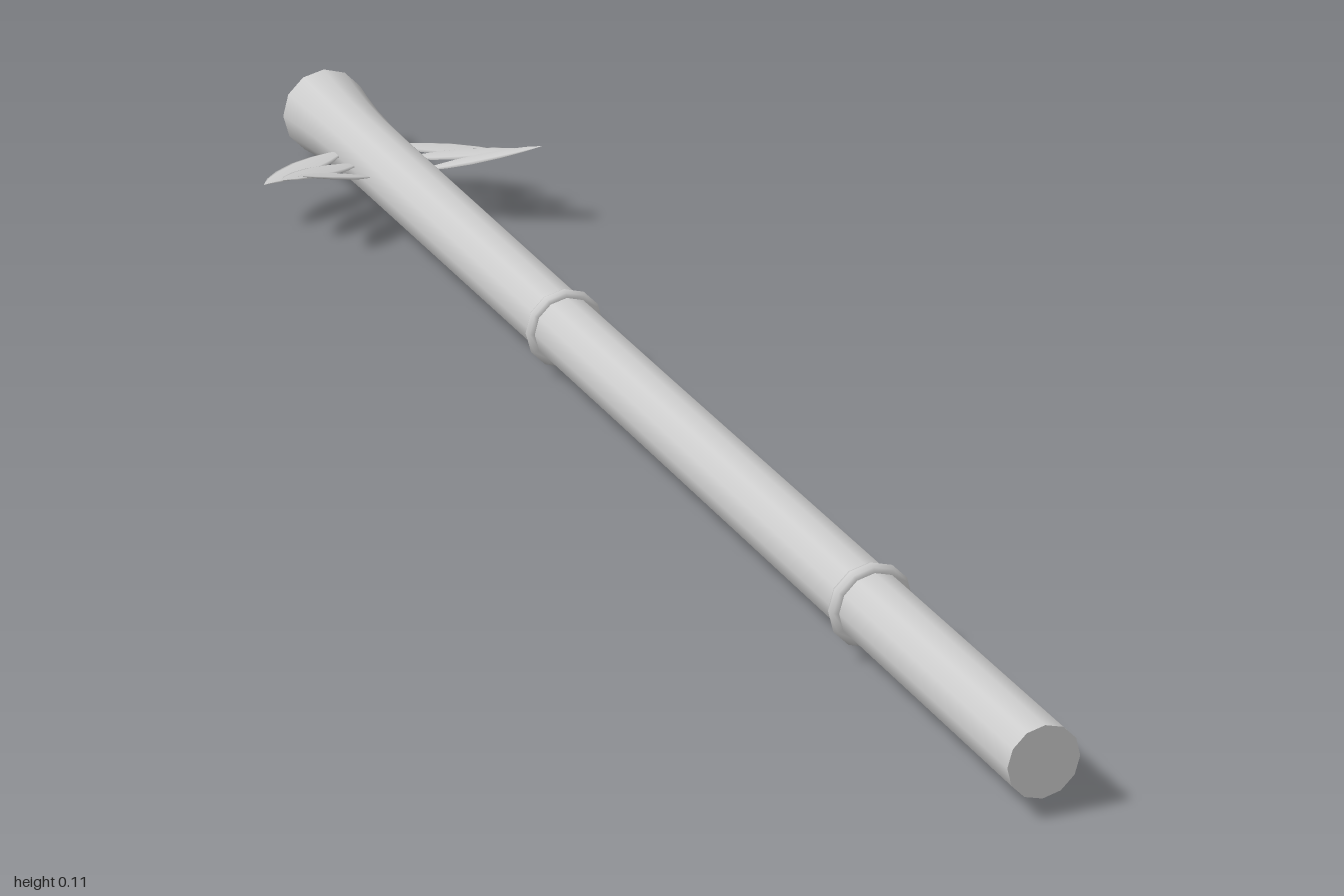
import * as THREE from 'three';

const AXIS_Y = 0.055; // height of the pole's centre line
const SIDES = 12;

export function createModel() {
  const model = new THREE.Group();
  model.name = 'bambooPole';
  const grey = new THREE.MeshStandardMaterial({ color: 0xcccccc });
  grey.name = 'paleGrey';

  const add = (name, geometry) => {
    const mesh = new THREE.Mesh(geometry, grey);
    mesh.name = name;
    model.add(mesh);
    return mesh;
  };

  // Long stalk, flaring at the back: [radius, z]
  const profile = [
    [0.055, -1], [0.0505, -0.96], [0.046, -0.91], [0.043, -0.85], [0.0415, -0.75],
    [0.04, -0.5], [0.038, -0.16], [0.037, 0.1], [0.036, 0.64], [0.0355, 1],
  ].map(([r, z]) => new THREE.Vector2(r, z));
  const stalk = new THREE.LatheGeometry(profile, SIDES).rotateX(Math.PI / 2);
  add('stalk', stalk).position.y = AXIS_Y;

  // Flat end caps, with corners matching the stalk
  const cap = (r) => new THREE.CircleGeometry(r, SIDES);
  add('frontCap', cap(0.0355)).position.set(0, AXIS_Y, 1);
  add('backCap', cap(0.055).rotateY(Math.PI)).position.set(0, AXIS_Y, -1);

  // Raised joints
  for (const [z, r] of [[0.64, 0.035], [-0.16, 0.037]]) {
    add('joint', new THREE.TorusGeometry(r, 0.0085, 8, SIDES)).position.set(0, AXIS_Y, z);
  }

  // Leaf: a pointed spindle of unit length, flattened when placed
  const leafOutline = [
    [0, 0], [0.45, 0.12], [0.8, 0.28], [1, 0.48], [0.85, 0.7], [0.5, 0.87], [0, 1],
  ].map(([r, y]) => new THREE.Vector2(r, y));
  const leafGeometry = new THREE.LatheGeometry(leafOutline, 8);

  // Three leaves on each side, rising towards the front
  const leaves = [
    { base: [0.028, 0.056, -0.84], tip: [0.16, 0.056, -0.748] },
    { base: [0.028, 0.056, -0.785], tip: [0.157, 0.08, -0.688] },
    { base: [0.028, 0.056, -0.73], tip: [0.153, 0.103, -0.63] },
  ];
  for (const side of [1, -1]) {
    for (const { base, tip } of leaves) {
      const start = new THREE.Vector3(side * base[0], base[1], base[2]);
      const along = new THREE.Vector3(side * tip[0], tip[1], tip[2]).sub(start);
      const length = along.length();
      along.normalize();
      const across = new THREE.Vector3(along.z, 0, -along.x).normalize();
      const normal = new THREE.Vector3().crossVectors(across, along);
      const leaf = add(side > 0 ? 'leftLeaf' : 'rightLeaf', leafGeometry);
      leaf.quaternion.setFromRotationMatrix(new THREE.Matrix4().makeBasis(across, along, normal));
      leaf.position.copy(start);
      leaf.scale.set(0.022, length, 0.0025);
    }
  }
  return model;
}
